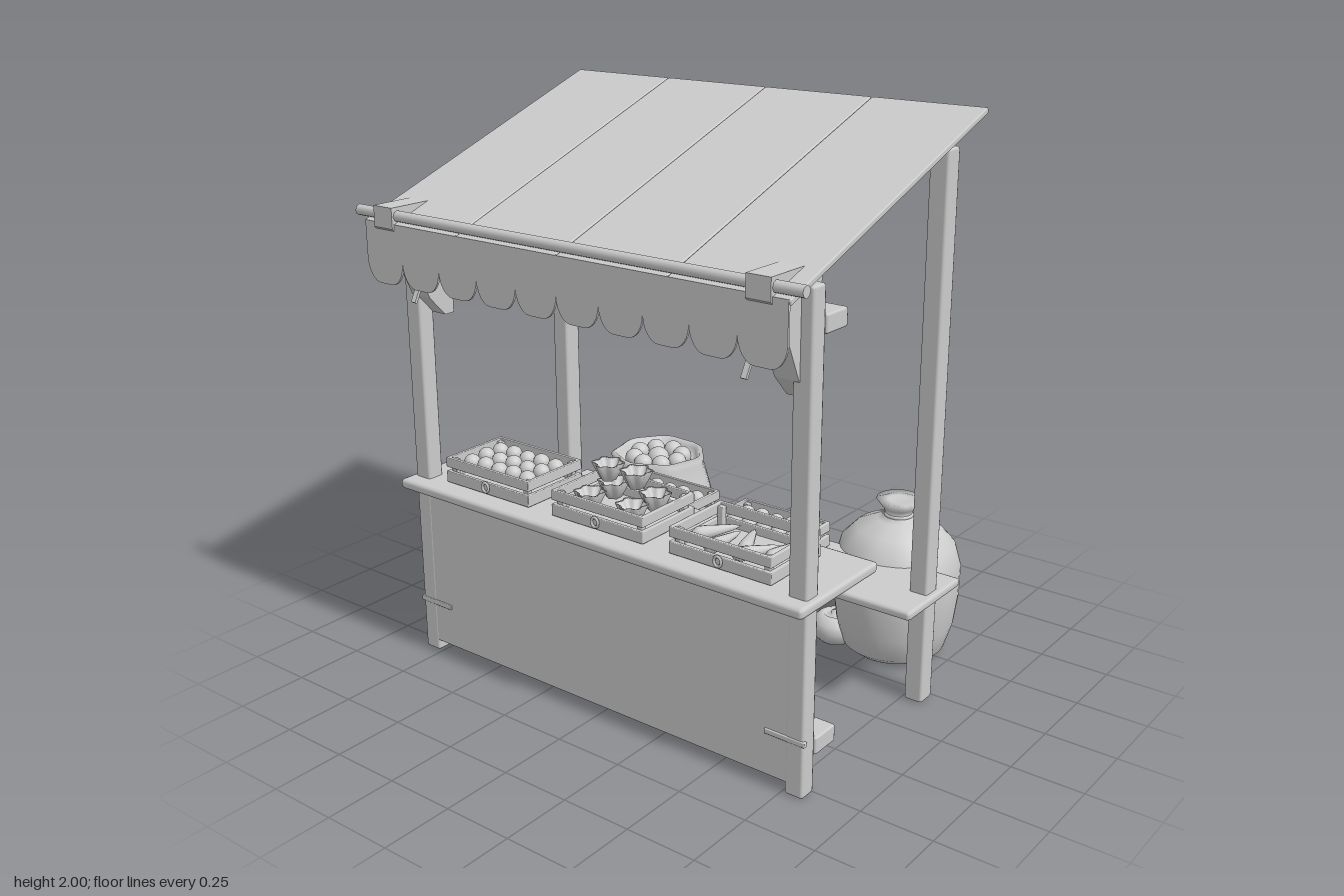
import * as THREE from 'three';
import { mergeVertices } from 'three/addons/utils/BufferGeometryUtils.js';
import { RoundedBoxGeometry } from 'three/addons/geometries/RoundedBoxGeometry.js';

const grey = new THREE.MeshStandardMaterial({ color: 0xcccccc, side: THREE.DoubleSide });
grey.name = 'plainGrey';

function add(parent, name, geometry, x = 0, y = 0, z = 0) {
  const mesh = new THREE.Mesh(geometry, grey);
  mesh.name = name;
  mesh.position.set(x, y, z);
  parent.add(mesh);
  return mesh;
}

// Bevelled timber given by its extents on each axis
function timber(parent, name, [x0, x1], [y0, y1], [z0, z1], bevel = 0.008) {
  const geo = new RoundedBoxGeometry(x1 - x0, y1 - y0, z1 - z0, 1, bevel);
  return add(parent, name, geo, (x0 + x1) / 2, (y0 + y1) / 2, (z0 + z1) / 2);
}

function lathe(points, sides) {
  return new THREE.LatheGeometry(points.map(([r, y]) => new THREE.Vector2(r, y)), sides);
}

// Lathed cloth with soft folds around it, stronger towards the top
function cloth(points, folds, depth, lumps = 0) {
  const geo = lathe(points, 40);
  geo.deleteAttribute('uv');
  geo.deleteAttribute('normal');
  const p = geo.attributes.position;
  for (let i = 0; i < p.count; i++) {
    const a = Math.atan2(p.getX(i), p.getZ(i)), y = p.getY(i);
    const s = 1 + depth * Math.cos(folds * a) * (0.2 + y) + lumps * Math.sin(3 * a + 5 * y);
    p.setXYZ(i, p.getX(i) * s, y, p.getZ(i) * s);
  }
  const merged = mergeVertices(geo, 1e-4);
  merged.computeVertexNormals();
  return merged;
}

const ball = (r) => new THREE.SphereGeometry(r, 14, 10);

// Slatted crate standing on its own origin
function makeCrate(name, w, d) {
  const crate = new THREE.Group();
  crate.name = name;
  const hw = w / 2, hd = d / 2, t = 0.014;
  timber(crate, 'crateFloor', [-hw, hw], [0, 0.014], [-hd, hd], 0.003);
  for (const [y0, y1] of [[0.005, 0.042], [0.056, 0.092]]) {
    for (const s of [-1, 1]) {
      const zc = s * (hd - t / 2), xc = s * (hw - t / 2);
      timber(crate, 'longSlat', [-hw, hw], [y0, y1], [zc - t / 2, zc + t / 2], 0.003);
      timber(crate, 'endSlat', [xc - t / 2, xc + t / 2], [y0, y1], [-hd, hd], 0.003);
    }
  }
  for (const sx of [-1, 1]) for (const sz of [-1, 1]) {
    const x = sx * (hw - 0.025), z = sz * (hd - 0.025);
    timber(crate, 'cornerPost', [x - 0.011, x + 0.011], [0, 0.085], [z - 0.011, z + 0.011], 0.003);
  }
  const ring = add(crate, 'crateLatch', new THREE.TorusGeometry(0.014, 0.005, 6, 12), 0, 0.028, hd + 0.006);
  ring.scale.y = 1.2;
  return crate;
}

function fillWithBalls(crate, cols, rows, w, d) {
  for (let i = 0; i < cols; i++) for (let j = 0; j < rows; j++) {
    add(crate, 'fruit', ball(0.03), ((i + 0.5) / cols - 0.5) * w, 0.068 + 0.004 * ((i + j) % 2), ((j + 0.5) / rows - 0.5) * d);
  }
}

export function createModel() {
  const stall = new THREE.Group();
  stall.name = 'marketStall';

  // Frame, mirrored left and right
  const bracketShape = new THREE.Shape([
    [0.71, 1.67], [0.46, 1.67], [0.46, 1.27], [0.50, 1.27], [0.565, 1.34], [0.66, 1.55], [0.71, 1.6],
  ].map(([z, y]) => new THREE.Vector2(z, y)));
  const bracketGeo = new THREE.ExtrudeGeometry(bracketShape, { depth: 0.085, bevelEnabled: false });
  bracketGeo.rotateY(-Math.PI / 2).translate(0.0425, 0, 0);
  for (const s of [-1, 1]) {
    const x = s * 0.795, px = [x - 0.034, x + 0.034];
    timber(stall, 'frontPost', px, [0, 1.62], [0.497, 0.562], 0.01);
    timber(stall, 'backPost', px, [0, 1.9], [-0.242, -0.168], 0.01);
    add(stall, 'roofBracket', bracketGeo, s * 0.745, 0, 0);
    const peg = [s * 0.76 - 0.075, s * 0.76 + 0.075];
    timber(stall, 'upperPeg', peg, [1.47, 1.53], [0.39, 0.5]);
    timber(stall, 'lowerPeg', peg, [0.13, 0.19], [0.39, 0.5]);
    timber(stall, 'panelStrap', peg, [0.185, 0.203], [0.55, 0.566], 0.003);
    const strut = add(stall, 'counterStrut', new RoundedBoxGeometry(0.04, 0.2, 0.036, 1, 0.008), s * 0.66, 0.535, 0.37);
    strut.rotation.x = 0.7;
    const stay = add(stall, 'valanceStay', new THREE.BoxGeometry(0.02, 0.11, 0.01), s * 0.67, 1.4, 0.64);
    stay.rotation.x = -0.5;
  }

  // Boards
  timber(stall, 'frontPanel', [-0.825, 0.825], [0.04, 0.64], [0.53, 0.56], 0.003);
  timber(stall, 'counter', [-0.85, 0.85], [0.635, 0.672], [0.19, 0.62], 0.014);
  timber(stall, 'backShelf', [-0.85, 0.85], [0.375, 0.408], [-0.365, -0.02], 0.013);

  // Sloping roof of four panels
  for (let i = 0; i < 4; i++) {
    const panel = add(stall, 'roofPanel', new RoundedBoxGeometry(0.42, 0.02, 1.148, 1, 0.005), (i - 1.5) * 0.4235, 1.8, 0.16);
    panel.rotation.x = 0.347;
  }
  const bar = add(stall, 'roofBar', new THREE.CylinderGeometry(0.019, 0.019, 1.77, 8), 0, 1.64, 0.685);
  bar.rotation.z = Math.PI / 2;

  // Scalloped valance
  const w = 0.168, scallop = new THREE.Shape();
  scallop.moveTo(-w / 2, 0.205);
  scallop.lineTo(-w / 2, 0.08);
  scallop.bezierCurveTo(-w / 2, 0.035, -w / 3, 0, -w / 6, 0);
  scallop.lineTo(w / 6, 0);
  scallop.bezierCurveTo(w / 3, 0, w / 2, 0.035, w / 2, 0.08);
  scallop.lineTo(w / 2, 0.205);
  const scallopGeo = new THREE.ExtrudeGeometry(scallop, { depth: 0.008, bevelEnabled: false, curveSegments: 6 });
  for (let i = 0; i < 10; i++) add(stall, 'valanceScallop', scallopGeo, (i - 4.5) * w, 1.41, 0.695);

  // Crates on the counter
  const [fruitCrate, cupCrate, rootCrate] = [-0.495, 0, 0.495].map((x, i) => {
    const crate = makeCrate(['fruitCrate', 'cupCrate', 'rootCrate'][i], 0.39, 0.27);
    crate.position.set(x, 0.675, 0.41);
    stall.add(crate);
    return crate;
  });
  fillWithBalls(fruitCrate, 5, 3, 0.33, 0.21);

  // Scalloped cups, four below and two stacked on top
  const cupGeo = cloth([[0, 0], [0.024, 0], [0.038, 0.03], [0.05, 0.06], [0.042, 0.058], [0.028, 0.025], [0, 0.02]], 6, 0.5);
  for (const x of [-0.09, 0.09]) for (const z of [-0.06, 0.06]) add(cupCrate, 'cup', cupGeo, x, 0.03, z);
  for (const x of [-0.06, 0.06]) add(cupCrate, 'topCup', cupGeo, x, 0.12, 0);

  // Root vegetables lying at angles
  const rootGeo = lathe([[0, -0.09], [0.01, -0.06], [0.022, 0.03], [0.024, 0.06], [0.012, 0.08], [0, 0.082]], 10);
  for (let i = 0; i < 5; i++) {
    const root = add(rootCrate, 'rootVegetable', rootGeo, (i - 2) * 0.065, 0.04, (i % 2 - 0.5) * 0.05);
    root.rotation.set(Math.PI / 2, 0, 0.5 - (i % 3) * 0.45);
  }

  // Crates on the back shelf
  for (const x of [0.17, -0.32]) {
    const crate = makeCrate('shelfCrate', 0.37, 0.22);
    crate.position.set(x, 0.412, -0.2);
    fillWithBalls(crate, 5, 2, 0.32, 0.16);
    stall.add(crate);
  }

  // Tied sack
  add(stall, 'tiedSack', cloth([[0, 0], [0.15, 0.003], [0.185, 0.03], [0.212, 0.12], [0.226, 0.23], [0.228, 0.34],
    [0.205, 0.42], [0.15, 0.48], [0.075, 0.51], [0.045, 0.525], [0.055, 0.55], [0.082, 0.585], [0.04, 0.58], [0, 0.575]],
    9, 0.012), 0.535, 0, -0.48);
  const tie = add(stall, 'sackTie', new THREE.TorusGeometry(0.046, 0.008, 8, 20), 0.535, 0.525, -0.48);
  tie.rotation.x = Math.PI / 2;

  // Open sack with a rolled rim and fruit inside
  add(stall, 'openSack', cloth([[0, 0], [0.14, 0.003], [0.18, 0.03], [0.205, 0.12], [0.222, 0.24], [0.217, 0.34],
    [0.195, 0.43], [0.178, 0.485], [0.182, 0.51], [0.166, 0.52], [0.155, 0.5], [0.14, 0.47], [0, 0.46]],
    7, 0.05, 0.018), -0.56, 0, -0.47);
  for (let i = 0; i < 8; i++) {
    const a = (i / 8) * Math.PI * 2;
    add(stall, 'sackFruit', ball(0.038), -0.565 + 0.095 * Math.sin(a), 0.49, -0.475 + 0.095 * Math.cos(a));
  }
  add(stall, 'sackFruit', ball(0.045), -0.565, 0.485, -0.475);

  // Lidded pots on the ground
  const potGeo = lathe([[0, 0], [0.065, 0], [0.09, 0.025], [0.1, 0.06], [0.092, 0.09], [0.07, 0.112], [0.05, 0.116],
    [0.045, 0.108], [0.02, 0.11], [0.018, 0.125], [0, 0.13]], 24);
  add(stall, 'pot', potGeo, 0.1, 0, -0.4);
  add(stall, 'pot', potGeo, 0.335, 0, -0.4).scale.setScalar(0.9);

  return stall;
}
